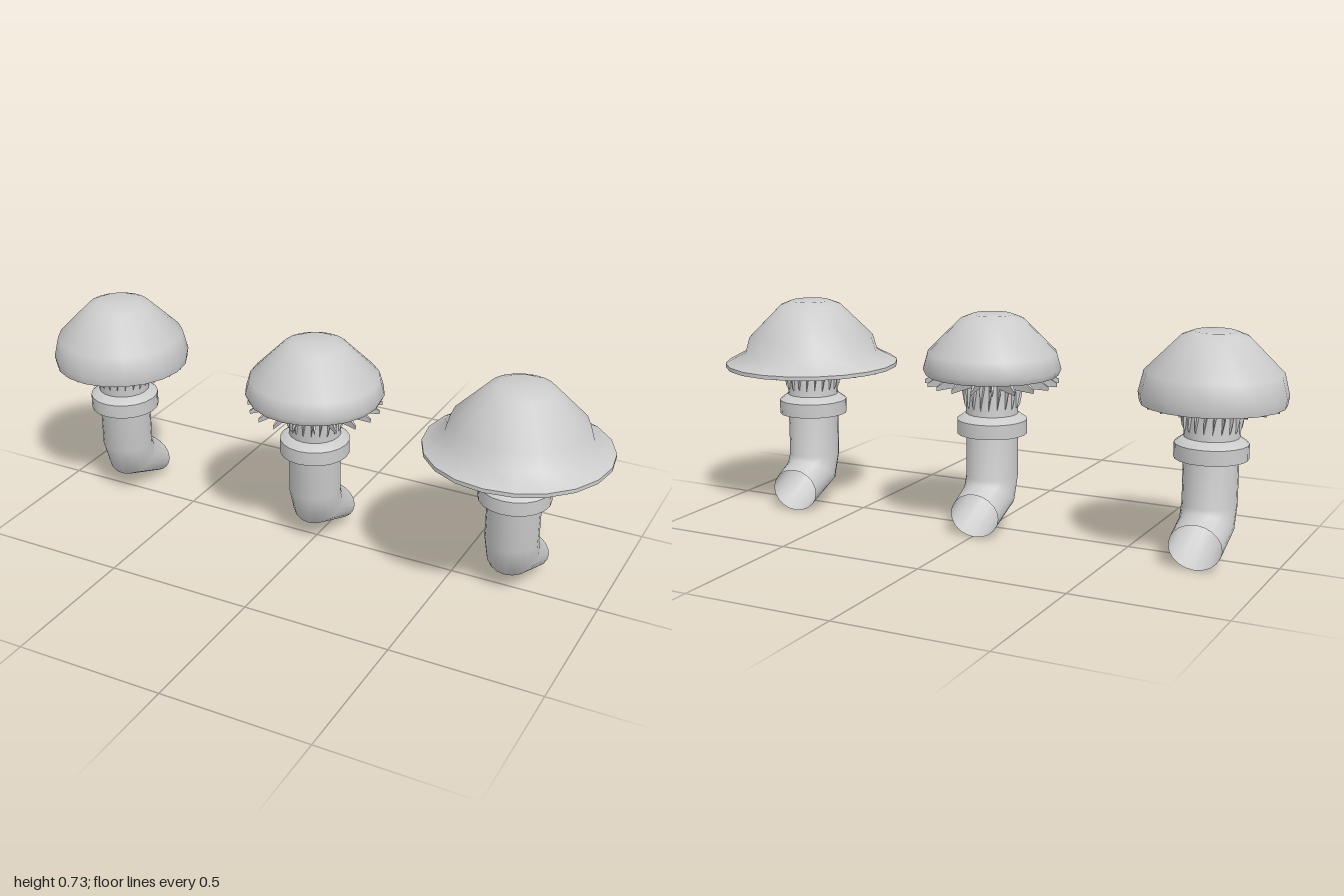
import * as THREE from 'three';
import { toCreasedNormals } from 'three/addons/utils/BufferGeometryUtils.js';

const SIDES = 20;
const GILLS = 20;
const STEM_R = 0.087;
const material = new THREE.MeshStandardMaterial({ color: 0xcccccc, side: THREE.DoubleSide });

function addMesh(parent, name, geometry) {
  const mesh = new THREE.Mesh(geometry, material);
  mesh.name = name;
  parent.add(mesh);
}

// Indexed geometry from positions and triangles
function build(positions, index) {
  const g = new THREE.BufferGeometry();
  g.setAttribute('position', new THREE.Float32BufferAttribute(positions, 3));
  g.setIndex(index);
  return g;
}

// Revolved profile, listed from the inner underside outward and up
function revolve(profile) {
  const points = profile.map(([r, y]) => new THREE.Vector2(r, y));
  return toCreasedNormals(new THREE.LatheGeometry(points, SIDES), THREE.MathUtils.degToRad(52));
}

// Open tube bent backward; each ring gives the front and back points [z, y]
function stemGeometry() {
  const rings = [
    [[-0.132, 0.003], [-0.132, 0.147]],
    [[0.05, 0.075], [-0.095, 0.172]],
    [[STEM_R, 0.185], [-STEM_R, 0.185]],
    [[STEM_R, 0.57], [-STEM_R, 0.57]],
  ];
  const positions = [], index = [];
  rings.forEach(([front, back], k) => {
    for (let i = 0; i < SIDES; i++) {
      const a = (i / SIDES) * Math.PI * 2;
      const t = (1 - Math.cos(a)) / 2;
      positions.push(
        STEM_R * Math.sin(a),
        THREE.MathUtils.lerp(front[1], back[1], t),
        THREE.MathUtils.lerp(front[0], back[0], t));
      if (k === rings.length - 1) continue;
      const p = k * SIDES + i, q = k * SIDES + ((i + 1) % SIDES);
      index.push(p, q, q + SIDES, p, q + SIDES, p + SIDES);
    }
  });
  return toCreasedNormals(build(positions, index), 0.9);
}

// Wedge-shaped gill: wide against the cap, sharp along its lower edge
function gillGeometry(tip, roof) {
  const stations = [
    // radius, top y, bottom y, half width, sideways lean
    [0.08, roof, 0.41, 0.011, 0.012],
    [0.092, roof, 0.43, 0.011, 0.012],
    [0.105, roof - 0.003, 0.498, 0.01, 0.01],
    [0.6 * tip + 0.04, 0.4 * roof + 0.6 * 0.525, 0.499, 0.007, 0.006],
    [tip, 0.512, 0.499, 0.002, 0],
  ];
  const positions = [], index = [];
  stations.forEach(([r, top, bottom, w, lean], k) => {
    positions.push(r, top, -w, r, top, w, r, bottom, lean);
    if (k === stations.length - 1) return;
    for (let i = 0; i < 3; i++) {
      const p = k * 3 + i, q = k * 3 + ((i + 1) % 3);
      index.push(p, p + 3, q + 3, p, q + 3, q);
    }
  });
  return toCreasedNormals(build(positions, index), 0.6);
}

const crown = [[0.215, 0.605], [0.105, 0.715], [0.067, 0.73], [0, 0.73]];
const collar = [[0.085, 0.332], [0.117, 0.332], [0.117, 0.38], [0.09, 0.4], [0.085, 0.4]];

// Cap shapes: rounded bell, tucked rim, and wide flared brim
const kinds = [
  { name: 'roundMushroom', x: -0.768, tip: 0.222, roof: 0.56,
    rim: [[0.08, 0.56], [0.21, 0.52], [0.227, 0.505], [0.232, 0.535]] },
  { name: 'tuckedMushroom', x: -0.008, tip: 0.222, roof: 0.56,
    rim: [[0.08, 0.56], [0.19, 0.535], [0.22, 0.531], [0.23, 0.552]] },
  { name: 'brimmedMushroom', x: 0.7, tip: 0.292, roof: 0.565,
    rim: [[0.08, 0.565], [0.2, 0.535], [0.285, 0.513], [0.3, 0.502], [0.3, 0.515], [0.23, 0.552]] },
];

export function createModel() {
  const model = new THREE.Group();
  model.name = 'mushrooms';
  for (const { name, x, tip, roof, rim } of kinds) {
    const mushroom = new THREE.Group();
    mushroom.name = name;
    mushroom.position.x = x;
    addMesh(mushroom, 'stem', stemGeometry());
    addMesh(mushroom, 'collar', revolve(collar));
    addMesh(mushroom, 'cap', revolve([...rim, ...crown]));

    // Ring of gills under the cap
    const gills = new THREE.Group();
    gills.name = 'gills';
    const gill = gillGeometry(tip, roof);
    for (let i = 0; i < GILLS; i++) {
      addMesh(gills, 'gill', gill);
      gills.children[i].rotation.y = ((i + 0.5) / GILLS) * Math.PI * 2;
    }
    mushroom.add(gills);
    model.add(mushroom);
  }
  return model;
}
